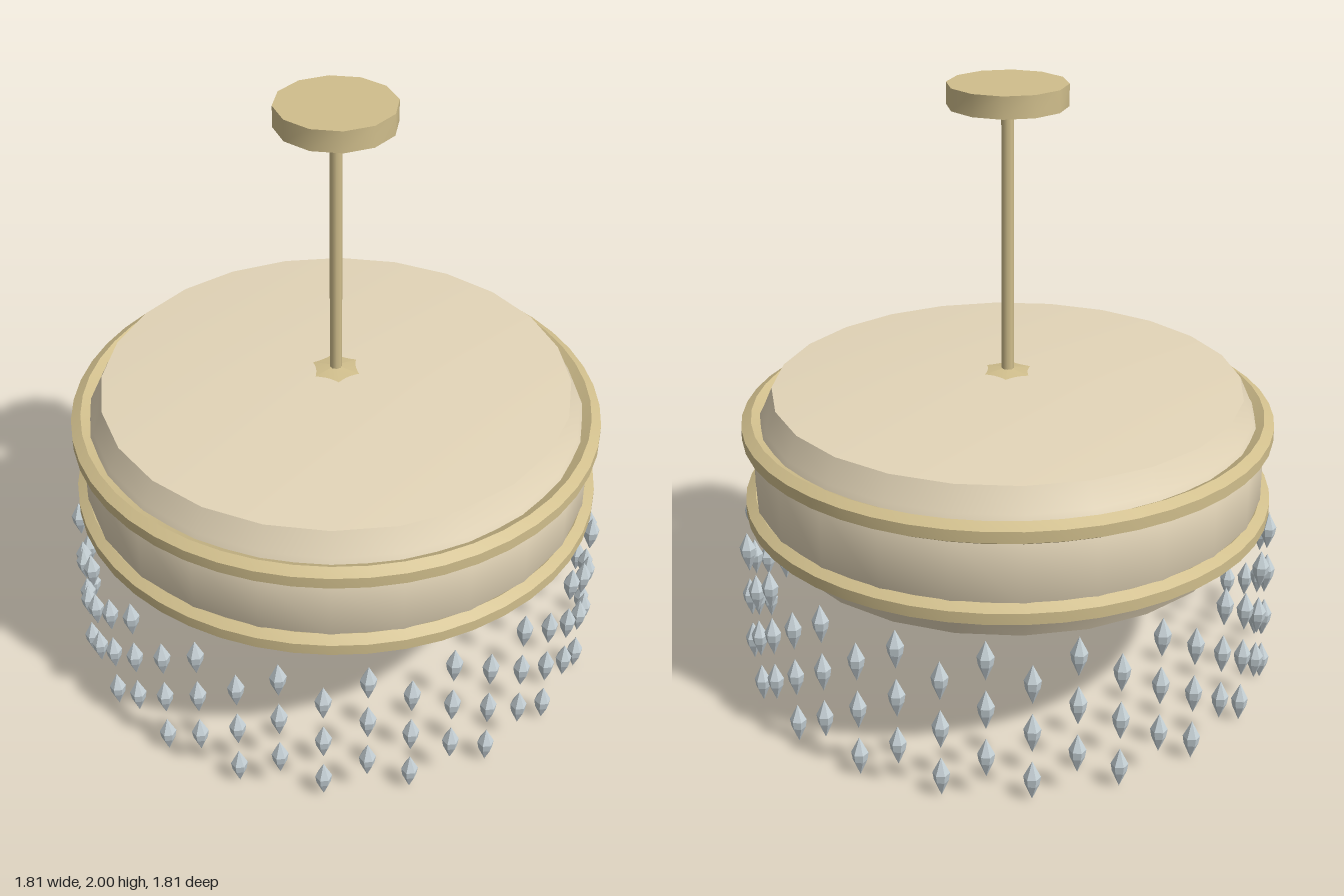
import * as THREE from 'three';
import { toCreasedNormals } from 'three/addons/utils/BufferGeometryUtils.js';

const brass = new THREE.MeshStandardMaterial({ color: 0xd0be8c });
const shade = new THREE.MeshStandardMaterial({ color: 0xe3d5b8 });
const crystal = new THREE.MeshStandardMaterial({ color: 0xc5d0d5, flatShading: true });

// Lathe from [radius, y] pairs listed bottom to top on the outside
function lathe(points, segments, start = 0) {
  return new THREE.LatheGeometry(points.map(([r, y]) => new THREE.Vector2(r, y)), segments, start);
}

function addMesh(parent, name, geometry, material, x = 0, y = 0, z = 0) {
  const mesh = new THREE.Mesh(geometry, material);
  mesh.name = name;
  mesh.position.set(x, y, z);
  parent.add(mesh);
  return mesh;
}

// Six-sided drop hanging down from its origin
function dropGeometry(radius, height) {
  return lathe([
    [0, -height], [radius * 0.85, -height * 0.6], [radius, -height * 0.4], [0, 0],
  ], 6, Math.PI / 6);
}

export function createModel() {
  const model = new THREE.Group();
  model.name = 'chandelier';

  // Ceiling mount and rod
  const canopy = new THREE.CylinderGeometry(0.19, 0.19, 0.07, 12);
  addMesh(model, 'ceilingCanopy', toCreasedNormals(canopy, 0.7), brass, 0, 1.965, 0);
  addMesh(model, 'rod', new THREE.CylinderGeometry(0.02, 0.02, 0.9, 8), brass, 0, 1.49, 0);
  addMesh(model, 'rodCollar', new THREE.ConeGeometry(0.1, 0.016, 6), brass, 0, 1.055, 0);

  // Drum with shallow cones closing top and bottom
  const drum = lathe([
    [0, 0.475], [0.772, 0.512], [0.806, 0.587], [0.843, 0.65],
    [0.843, 0.87], [0.806, 0.93], [0.772, 1.007], [0, 1.055],
  ], 24, Math.PI / 24);
  addMesh(model, 'drumShade', toCreasedNormals(drum, 0.65), shade);

  // Two trim rings with a hexagonal section
  const section = [];
  for (let i = 0; i <= 6; i++) {
    const a = -Math.PI / 2 + (i * Math.PI) / 3;
    section.push([0.841 + 0.037 * Math.cos(a), 0.037 * Math.sin(a)]);
  }
  const ring = toCreasedNormals(lathe(section, 48), 0.6);
  addMesh(model, 'upperRing', ring, brass, 0, 0.893, 0);
  addMesh(model, 'lowerRing', ring, brass, 0, 0.627, 0);

  // Forty strands of three drops, every second strand hanging lower
  const curtain = new THREE.Group();
  curtain.name = 'crystalCurtain';
  model.add(curtain);
  const drop = dropGeometry(0.027, 0.135);
  for (let i = 0; i < 40; i++) {
    const a = (i * Math.PI) / 20;
    const top = i % 2 ? 0.478 : 0.56;
    for (let row = 0; row < 3; row++) {
      addMesh(curtain, 'crystalDrop', drop, crystal,
        0.88 * Math.sin(a), top - row * 0.169, 0.88 * Math.cos(a));
    }
  }

  // Large drop under the middle
  addMesh(model, 'centreDrop', dropGeometry(0.068, 0.31), crystal, 0, 0.398, 0);

  return model;
}
